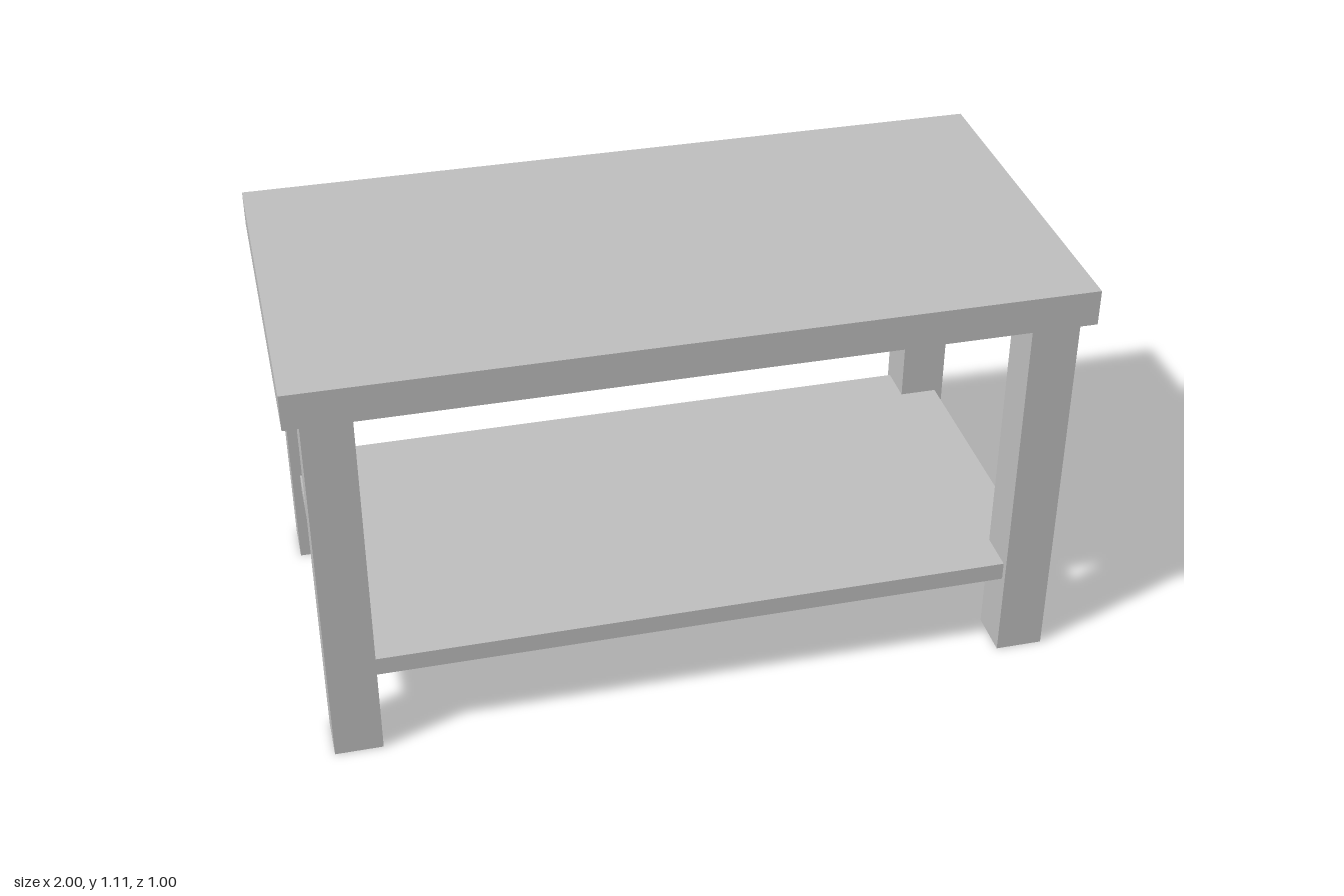
import * as THREE from 'three';

export function createModel() {
  const model = new THREE.Group();
  model.name = 'bench table';
  const grey = new THREE.MeshStandardMaterial({ color: 0xbebebe });
  grey.name = 'grey';

  const TOP = 1.11, UNDERSIDE = 1.015, LEG = 0.125;

  // Box given by its footprint, bottom and top heights
  function addBox(name, width, depth, bottom, top, x = 0, z = 0) {
    const mesh = new THREE.Mesh(new THREE.BoxGeometry(width, top - bottom, depth), grey);
    mesh.position.set(x, (bottom + top) / 2, z);
    mesh.name = name;
    model.add(mesh);
  }

  addBox('tableTop', 2, 1, UNDERSIDE, TOP);

  // Lower shelf, let into the four legs
  addBox('shelf', 1.875, 0.945, 0.228, 0.278);

  // Legs, slightly inset from the edges of the top
  for (const [side, sx] of [['Left', 1], ['Right', -1]]) {
    for (const [end, sz] of [['front', 1], ['back', -1]]) {
      addBox(`${end}${side}Leg`, LEG, LEG, 0, UNDERSIDE, sx * 0.8975, sz * 0.4265);
    }
  }

  return model;
}
